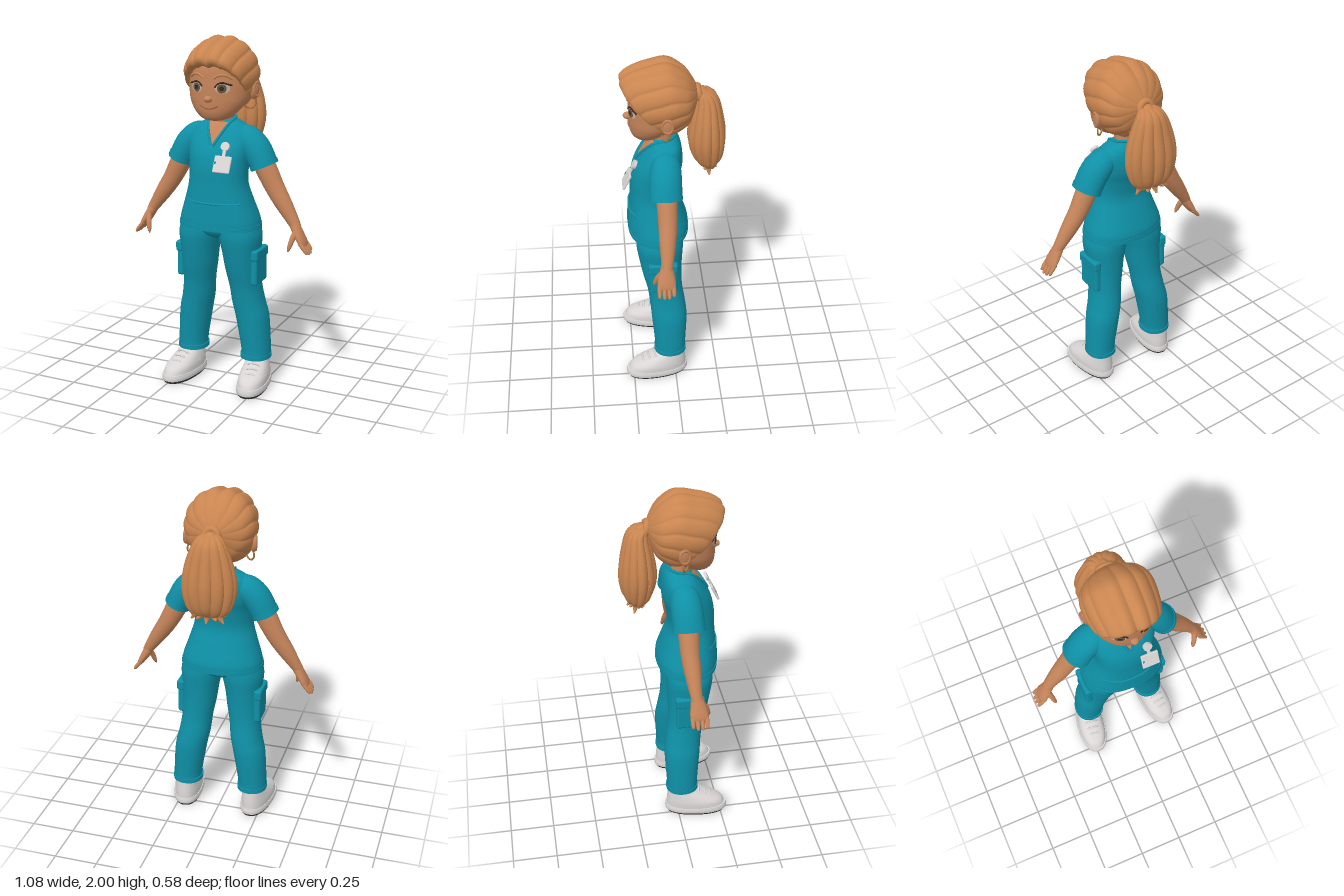
import * as THREE from 'three';
import { RoundedBoxGeometry } from 'three/addons/geometries/RoundedBoxGeometry.js';

const V = (x, y, z) => new THREE.Vector3(x, y, z);
const X = V(1, 0, 0), Z = V(0, 0, 1);
const paint = (name, color, side = THREE.FrontSide) => {
  const m = new THREE.MeshStandardMaterial({ color, side });
  m.name = name;
  return m;
};

// Catmull-Rom smoothing of rows of numbers
function smooth(rows, k = 6) {
  const out = [], at = i => rows[Math.min(Math.max(i, 0), rows.length - 1)];
  for (let i = 0; i < rows.length - 1; i++) for (let j = 0; j < k; j++) {
    const t = j / k, [a, b, c, d] = [at(i - 1), at(i), at(i + 1), at(i + 2)];
    out.push(b.map((_, q) => 0.5 * (2 * b[q] + (c[q] - a[q]) * t + (2 * a[q] - 5 * b[q] + 4 * c[q] - d[q]) * t * t
      + (3 * b[q] - a[q] - 3 * c[q] + d[q]) * t * t * t)));
  }
  out.push(rows[rows.length - 1]);
  return out;
}
// Level rings, bottom to top: x, y, z, half width, half depth
const level = rows => rows.map(([x, y, z, a, b]) => ({ c: V(x, y, z), u: V(0, 0, b), v: V(a, 0, 0) }));
// Rings across a path: x, y, z, half size along ref, half size across it
const along = (rows, ref) => rows.map(([x, y, z, a, b], i) => {
  const p = rows[Math.max(i - 1, 0)], q = rows[Math.min(i + 1, rows.length - 1)];
  const t = V(q[0] - p[0], q[1] - p[1], q[2] - p[2]).normalize();
  const v = ref.clone().addScaledVector(t, -ref.dot(t)).normalize();
  return { c: V(x, y, z), u: v.clone().cross(t).multiplyScalar(b), v: v.multiplyScalar(a) };
});
// Leaning rings: top z, y, bottom z, y, half width
const leaning = rows => rows.map(([zt, yt, zb, yb, a]) => ({
  c: V(0, (yt + yb) / 2, (zt + zb) / 2), u: V(0, (yb - yt) / 2, (zb - zt) / 2), v: V(a, 0, 0),
}));
// Skin over rings; pow squares the section, r scales it by angle and progress
function loft(rings, { seg = 36, pow = 2, r = () => 1, caps = true } = {}) {
  const pos = [], idx = [], round = s => Math.sign(s) * Math.abs(s) ** (2 / pow);
  const put = (ring, f) => {
    for (let j = 0; j < seg; j++) {
      const th = j / seg * Math.PI * 2, k = r(th, f);
      const p = ring.c.clone().addScaledVector(ring.u, k * round(Math.cos(th))).addScaledVector(ring.v, k * round(Math.sin(th)));
      pos.push(p.x, p.y, p.z);
    }
  };
  rings.forEach((ring, i) => put(ring, i / (rings.length - 1)));
  for (let i = 0; i < rings.length - 1; i++) for (let j = 0; j < seg; j++) {
    const a = i * seg + j, b = i * seg + (j + 1) % seg;
    idx.push(a, b, a + seg, b, b + seg, a + seg);
  }
  if (caps) for (const end of [0, 1]) {
    const ring = rings[end ? rings.length - 1 : 0], s = pos.length / 3;
    put(ring, end);
    pos.push(ring.c.x, ring.c.y, ring.c.z);
    for (let j = 0; j < seg; j++) {
      const a = s + j, b = s + (j + 1) % seg;
      idx.push(s + seg, end ? a : b, end ? b : a);
    }
  }
  return buffer(pos, idx);
}
function buffer(pos, idx) {
  const g = new THREE.BufferGeometry();
  g.setAttribute('position', new THREE.Float32BufferAttribute(pos, 3));
  g.setIndex(idx);
  g.computeVertexNormals();
  return g;
}
// Point on the front of a body made of level rows
function front({ rows, pow }, x, y, off) {
  const i = Math.max(1, rows.findIndex(r => r[1] >= y)), p = rows[i - 1], q = rows[i], t = (y - p[1]) / (q[1] - p[1]);
  const [, , z, a, b] = p.map((n, k) => n + (q[k] - n) * t);
  return V(x, y, z + b * Math.max(0, 1 - Math.abs(x / a) ** pow) ** (1 / pow) + off);
}
// Thin face following the front of a body
function patch(body, cx, y0, y1, half, off, n = 12) {
  const pos = [], idx = [];
  for (let i = 0; i <= n; i++) for (let j = 0; j <= n; j++) {
    const p = front(body, cx + half(i / n) * (2 * j / n - 1), y0 + (y1 - y0) * i / n, off);
    pos.push(p.x, p.y, p.z);
    const a = i * (n + 1) + j;
    if (i < n && j < n) idx.push(a, a + 1, a + n + 1, a + 1, a + n + 2, a + n + 1);
  }
  return buffer(pos, idx);
}
const oval = w => s => w * Math.sqrt(Math.max(0, 1 - (2 * s - 1) ** 2));
const tube = (pts, r) => new THREE.TubeGeometry(new THREE.CatmullRomCurve3(pts), 24, r, 8);

export function createModel() {
  const model = new THREE.Group();
  const skin = paint('skin', 0xc5845a), hair = paint('hair', 0xc98550), scrubs = paint('teal cloth', 0x0f90a6);
  const white = paint('shoe white', 0xd9d5d5), sole = paint('sole grey', 0x35353a), eyeWhite = paint('eye white', 0xbfb2a6);
  const iris = paint('iris brown', 0x66543f), dark = paint('lash brown', 0x3a271c), lip = paint('lip', 0xb06a4c), gold = paint('earring', 0xa8763e);
  const add = (name, geo, mat, parent = model) => {
    const m = new THREE.Mesh(geo, mat);
    m.name = name;
    parent.add(m);
    return m;
  };

  // Head and neck
  const head = { pow: 2, rows: smooth([[0, 1.548, .15, .02, .02], [0, 1.562, .145, .075, .065], [0, 1.6, .125, .122, .105],
    [0, 1.65, .1, .158, .135], [0, 1.7, .082, .172, .154], [0, 1.77, .075, .175, .16], [0, 1.85, .075, .165, .153],
    [0, 1.92, .075, .12, .11], [0, 1.95, .075, .04, .04]]) };
  add('head', loft(level(head.rows), { seg: 48 }), skin);
  add('neck', loft(level(smooth([[0, 1.44, .045, .075, .07], [0, 1.52, .05, .06, .055], [0, 1.62, .06, .06, .058]]))), skin);
  const nose = add('nose', new THREE.SphereGeometry(1, 20, 14), skin);
  nose.scale.set(.023, .018, .026);
  nose.position.set(0, 1.677, .238);
  add('lips', tube([[-.052, 1.643], [-.025, 1.63], [0, 1.626], [.025, 1.63], [.052, 1.643]].map(p => front(head, ...p, 0)), .0055), lip);

  // Hair gathered back in ridged locks
  const cap = smooth([[-.135, 1.825, -.135, 1.775, .03], [-.11, 1.88, -.115, 1.71, .095], [-.06, 1.945, -.09, 1.645, .16],
    [.03, 2, -.05, 1.605, .195], [.13, 1.985, -.02, 1.585, .2], [.22, 1.957, 0, 1.58, .193], [.28, 1.91, .01, 1.585, .18],
    [.267, 1.866, .02, 1.6, .168], [.2, 1.85, .03, 1.62, .14]]);
  add('hairCap', loft(leaning(cap), { seg: 168, caps: false,
    r: (th, f) => 1 - .05 * (1 - Math.abs(Math.sin(7 * th)) ** .6) - .09 * f * Math.exp(-(((th - Math.PI) / .14) ** 2)) }), hair);
  const tie = add('hairTie', new THREE.TorusGeometry(.036, .019, 12, 28), hair);
  tie.position.set(0, 1.8, -.14);
  tie.rotation.x = .25;
  add('ponytail', loft(level(smooth([[0, 1.38, -.19, .05, .03], [0, 1.46, -.185, .11, .07], [0, 1.56, -.18, .125, .085],
    [0, 1.66, -.18, .1, .075], [0, 1.75, -.175, .065, .055], [0, 1.8, -.16, .04, .04], [0, 1.825, -.15, .015, .015]])), { seg: 48 }), hair);
  for (let i = 0; i < 11; i++) {
    const dx = Math.sin(i / 11 * Math.PI * 2), dz = -Math.cos(i / 11 * Math.PI * 2);
    add('ponytailLock', loft(along(smooth([[dx * .015, 1.8, -.13, .018, .018], [dx * .055, 1.775, -.18 + dz * .035, .028, .022],
      [dx * .1, 1.65, -.185 + dz * .06, .036, .03], [dx * .115, 1.53, -.185 + dz * .073, .04, .032],
      [dx * .1, 1.43, -.19 + dz * .06, .034, .026], [dx * .075, 1.375, -.195 + dz * .03, .022, .018],
      [dx * .1, 1.335 + .02 * (i % 3), -.2 + dz * .045, .004, .004]]), X), { seg: 14 }), hair);
  }

  // Tunic
  const torso = { pow: 2.25, rows: smooth([[0, .95, .083, .235, .167], [0, 1, .083, .228, .167], [0, 1.1, .096, .195, .148],
    [0, 1.2, .108, .168, .13], [0, 1.3, .1, .168, .133], [0, 1.38, .08, .178, .133], [0, 1.45, .06, .182, .112],
    [0, 1.5, .047, .155, .09], [0, 1.53, .042, .105, .07], [0, 1.55, .04, .06, .05]]) };
  add('tunic', loft(level(torso.rows), { seg: 56, pow: 2.25 }), scrubs);
  add('tunicHem', loft(level([[0, .945, .083, .239, .171], [0, .968, .083, .237, .171]]), { seg: 56, pow: 2.25 }), scrubs);
  add('tunicPocket', patch(torso, 0, .985, 1.1, () => .165, .007), scrubs);
  add('pocketTrim', tube([-.165, -.08, 0, .08, .165].map(x => front(torso, x, 1.1, .003)), .006), scrubs);
  add('neckOpening', patch(torso, 0, 1.405, 1.535, s => .066 * s, .004), skin);
  const edge = s => [1.53, 1.49, 1.45, 1.41].map(y => front(torso, s * .066 * (y - 1.405) / .13, y, .003));
  add('collar', tube([...edge(1).reverse(), V(.07, 1.55, .03), V(.045, 1.555, -.005), V(0, 1.555, -.018),
    V(-.045, 1.555, -.005), V(-.07, 1.55, .03), ...edge(-1)], .008), scrubs);

  // Badge on a round clip
  const badge = new THREE.Group();
  badge.name = 'badge';
  model.add(badge);
  badge.position.set(.09, 1.345, .25);
  badge.rotation.x = -.45;
  add('badgeCard', new RoundedBoxGeometry(.1, .095, .014, 2, .006), white, badge).position.y = -.015;
  add('badgeStrap', new THREE.BoxGeometry(.018, .05, .008), white, badge).position.y = .05;
  add('badgeClip', new THREE.CylinderGeometry(.025, .025, .016, 24).rotateX(Math.PI / 2), white, badge).position.y = .085;
  add('badgeMark', new THREE.BoxGeometry(.01, .012, .004), scrubs, badge).position.set(-.04, -.01, .007);

  // Trouser seat
  add('trouserSeat', loft(level(smooth([[0, .87, .08, .05, .05], [0, .9, .08, .13, .105], [0, .94, .08, .2, .128], [0, 1, .08, .205, .135]]))), scrubs);

  for (const s of [1, -1]) {
    const side = rows => rows.map(([x, ...rest]) => [s * x, ...rest]);

    // Eye, brow and lashes
    add('eyeWhite', patch(head, s * .076, 1.709, 1.763, oval(.037), .003), eyeWhite);
    add('iris', patch(head, s * .074, 1.711, 1.761, oval(.024), .005), iris);
    add('pupil', patch(head, s * .074, 1.724, 1.749, oval(.012), .007), dark);
    const onFace = (pts, off) => pts.map(([x, y]) => front(head, s * x, y, off));
    add('eyelash', tube(onFace([[.036, 1.742], [.055, 1.761], [.077, 1.767], [.1, 1.76], [.122, 1.753]], .003), .0045), dark);
    add('eyebrow', tube(onFace([[.03, 1.79], [.06, 1.806], [.09, 1.805], [.122, 1.786]], .001), .0065), hair);

    // Ear and hoop
    const ear = add('ear', new THREE.SphereGeometry(1, 20, 14), skin);
    ear.scale.set(.017, .05, .034);
    ear.position.set(s * .186, 1.71, .04);
    ear.rotation.set(-.2, s * -.25, s * -.1);
    const rim = add('earRim', new THREE.TorusGeometry(.027, .007, 8, 24), skin);
    rim.scale.y = 1.4;
    rim.position.set(s * .196, 1.715, .04);
    rim.rotation.set(0, Math.PI / 2 - s * .2, 0);
    const hoop = add('earring', new THREE.TorusGeometry(.033, .005, 8, 32), gold);
    hoop.position.set(s * .162, 1.645, .05);
    hoop.rotation.y = s * .6;

    // Sleeve, arm and hand
    add('sleeve', loft(along(smooth(side([[.09, 1.455, .045, .06, .06], [.15, 1.44, .048, .08, .075], [.205, 1.385, .052, .087, .08],
      [.252, 1.3, .055, .088, .075]])), Z)), scrubs);
    add('sleeveHem', loft(along(side([[.245, 1.317, .055, .09, .078], [.254, 1.296, .055, .091, .078]]), Z)), scrubs);
    add('arm', loft(along(smooth(side([[.2, 1.4, .05, .06, .06], [.262, 1.28, .05, .057, .06], [.315, 1.18, .05, .052, .054],
      [.37, 1.095, .055, .046, .047], [.42, 1.02, .06, .036, .036], [.452, .97, .066, .031, .028]])), Z)), skin);
    add('palm', loft(along(smooth(side([[.435, .995, .064, .03, .028], [.462, .945, .068, .043, .026], [.486, .905, .07, .05, .021],
      [.5, .88, .07, .046, .015], [.505, .87, .07, .03, .006]])), Z)), skin);
    for (let i = 0; i < 4; i++) {
      const z = .032 + i * .026, l = [.85, 1, 1, .92][i];
      add('finger', loft(along(smooth(side([[.485, .9, z, .011, .012], [.485 + .03 * l, .9 - .036 * l, z, .012, .011],
        [.485 + .047 * l, .9 - .059 * l, z, .009, .008], [.485 + .052 * l, .9 - .066 * l, z, .002, .002]])), Z), { seg: 14 }), skin);
    }
    add('thumb', loft(along(smooth(side([[.455, .955, .09, .018, .016], [.444, .915, .115, .016, .015], [.434, .872, .13, .012, .011],
      [.428, .85, .136, .002, .002]])), Z), { seg: 14 }), skin);

    // Trouser leg with cuff and cargo pocket
    add('trouserLeg', loft(level(smooth(side([[.2, .165, .03, .084, .09], [.2, .22, .03, .084, .09], [.179, .4, .033, .093, .102],
      [.158, .5, .042, .092, .102], [.145, .6, .056, .09, .101], [.135, .7, .07, .098, .111], [.129, .8, .078, .106, .122],
      [.122, .9, .082, .12, .132], [.112, .98, .08, .11, .125]]))), { pow: 2.15 }), scrubs);
    add('trouserCuff', loft(level(side([[.2, .16, .03, .088, .094], [.2, .185, .03, .088, .094]])), { pow: 2.15 }), scrubs);
    const pocket = add('cargoPocket', new RoundedBoxGeometry(.04, .19, .155, 3, .014), scrubs);
    pocket.position.set(s * .228, .72, .068);
    const flap = add('cargoFlap', new RoundedBoxGeometry(.045, .06, .165, 3, .012), scrubs);
    flap.position.set(s * .231, .8, .07);

    // Shoe, toes turned slightly out
    const shoe = new THREE.Group();
    shoe.name = 'shoe';
    model.add(shoe);
    shoe.position.x = s * .208;
    shoe.rotation.y = s * .13;
    const sized = { pow: 2.3 };
    add('outsole', loft(level([[0, 0, .112, .078, .174], [0, .016, .112, .084, .181]]), sized), sole, shoe);
    add('midsole', loft(level(smooth([[0, .015, .112, .086, .183], [0, .03, .112, .088, .184], [0, .048, .112, .085, .18]])), sized), white, shoe);
    add('shoeUpper', loft(level(smooth([[0, .045, .11, .081, .174], [0, .08, .1, .08, .162], [0, .11, .073, .073, .132],
      [0, .145, .035, .063, .09], [0, .175, .018, .057, .07]])), sized), white, shoe);
    add('ankle', loft(level([[0, .15, .015, .052, .062], [0, .23, .015, .05, .06]])), skin, shoe);
    for (let i = 0; i < 3; i++) {
      const z = .125 + i * .034, y = .153 - i * .019;
      add('lace', tube([V(-.04, y - .022, z), V(-.02, y - .004, z + .004), V(.02, y - .004, z + .004), V(.04, y - .022, z)], .006), white, shoe);
    }
  }
  return model;
}
